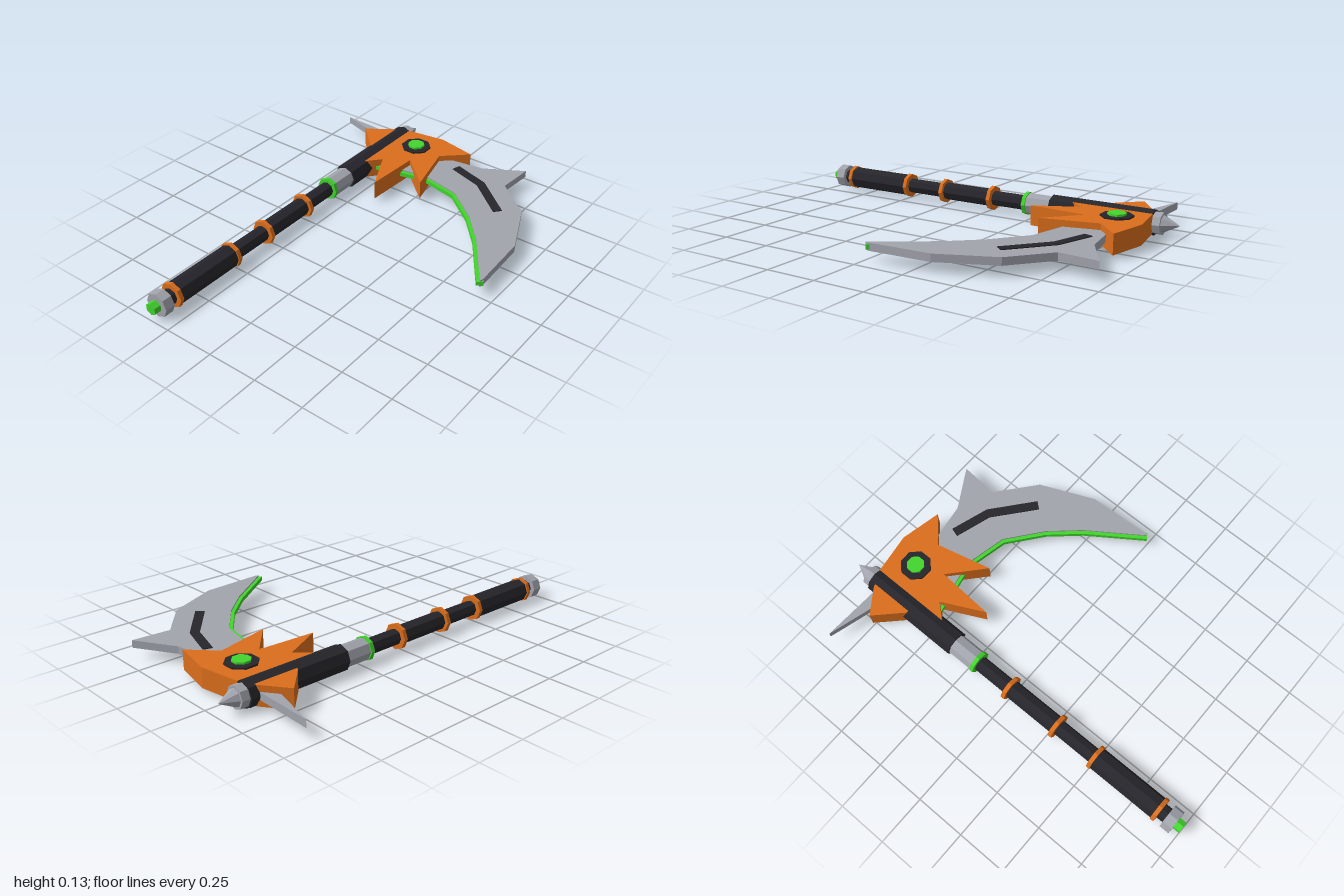
import * as THREE from 'three';

const mat = (color) => new THREE.MeshStandardMaterial({ color, flatShading: true });
const MID = 0.066; // height of the weapon's flat middle plane
const SHAFT_X = -0.345;

export function createModel() {
  const root = new THREE.Group();
  const steel = mat(0xa2a4ad), dark = mat(0x25252b), orange = mat(0xdb6e1c), green = mat(0x42d52e);

  const add = (name, geometry, material, parent = root) => {
    const mesh = new THREE.Mesh(geometry, material);
    mesh.name = name;
    parent.add(mesh);
    return mesh;
  };

  // Flat plate from an [x, z] outline, centred on the middle plane
  const plate = (name, points, thickness, material) => {
    const shape = new THREE.Shape(points.map(([x, z]) => new THREE.Vector2(x, -z)));
    const geo = new THREE.ExtrudeGeometry(shape, { depth: thickness, bevelEnabled: false });
    geo.translate(0, 0, -thickness / 2).rotateX(-Math.PI / 2);
    return add(name, geo, material).translateY(MID);
  };

  // Shaft: pieces stacked along z
  const shaft = new THREE.Group();
  shaft.name = 'shaft';
  shaft.position.set(SHAFT_X, MID, 0);
  root.add(shaft);
  const piece = (name, z0, z1, rBack, rFront, material, sides = 8) => {
    const geo = new THREE.CylinderGeometry(rFront, rBack, z1 - z0, sides);
    geo.rotateX(Math.PI / 2).translate(0, 0, (z0 + z1) / 2);
    add(name, geo, material, shaft);
  };
  piece('topSpike', -1, -0.92, 0, 0.042, steel);
  piece('topCollar', -0.92, -0.87, 0.053, 0.053, steel);
  piece('headSleeve', -0.88, -0.355, 0.062, 0.062, dark);
  piece('neck', -0.355, -0.22, 0.053, 0.053, steel);
  piece('neckRing', -0.225, -0.205, 0.058, 0.058, green);
  piece('core', -0.22, 0.93, 0.038, 0.038, dark);
  piece('upperGrip', -0.01, 0.275, 0.045, 0.045, dark);
  piece('lowerGrip', 0.5, 0.87, 0.056, 0.056, dark);
  for (const z of [-0.015, 0.272, 0.5, 0.87]) piece('gripRing', z - 0.01, z + 0.01, 0.062, 0.062, orange);
  piece('pommel', 0.915, 0.965, 0.06, 0.06, steel);
  piece('pommelGem', 0.965, 1, 0.03, 0.03, green, 6);

  // Curved blade with a barb on its back
  const edge = [[-0.29, -0.535], [-0.13, -0.565], [0, -0.59], [0.205, -0.545],
    [0.375, -0.41], [0.5, -0.27], [0.68, -0.01]];
  plate('blade', [[-0.29, -0.83], [0, -0.8], [0.19, -0.83], [0.385, -0.945], [0.37, -0.755],
    [0.555, -0.6], [0.67, -0.335], [0.685, -0.03], ...edge.slice().reverse()], 0.036, steel);

  // Strip of constant width following a polyline
  const strip = (points, width) => {
    const side = (s) => points.map(([x, z], i) => {
      const a = points[Math.max(i - 1, 0)], b = points[Math.min(i + 1, points.length - 1)];
      const dx = b[0] - a[0], dz = b[1] - a[1], k = s * width / 2 / Math.hypot(dx, dz);
      return [x - dz * k, z + dx * k];
    });
    return [...side(1), ...side(-1).reverse()];
  };
  plate('cuttingEdge', strip(edge, 0.034), 0.021, green);
  plate('bladeInlay', strip([[0.08, -0.75], [0.265, -0.692], [0.46, -0.53]], 0.045), 0.044, dark);

  // Rear spike and the orange head guard
  plate('rearSpike', [[-0.7, -0.85], [-0.35, -0.835], [-0.35, -0.75], [-0.47, -0.785]], 0.036, steel);
  plate('headGuard', [[-0.315, -0.88], [-0.11, -0.912], [0.092, -0.87], [-0.03, -0.755], [0.037, -0.48],
    [-0.128, -0.628], [-0.145, -0.34], [-0.248, -0.548], [-0.31, -0.475], [-0.33, -0.6]], 0.096, orange);
  plate('rearGuard', [[-0.515, -0.755], [-0.39, -0.845], [-0.34, -0.845], [-0.34, -0.63], [-0.39, -0.63]],
    0.096, orange);

  // Gem passing through the guard, in a dark octagonal setting
  const disc = (name, radius, height, material) => {
    const geo = new THREE.CylinderGeometry(radius, radius, height, 8).rotateY(Math.PI / 8);
    add(name, geo, material).position.set(-0.182, MID, -0.762);
  };
  disc('gemSetting', 0.077, 0.112, dark);
  disc('gem', 0.044, 0.132, green);

  return root;
}
